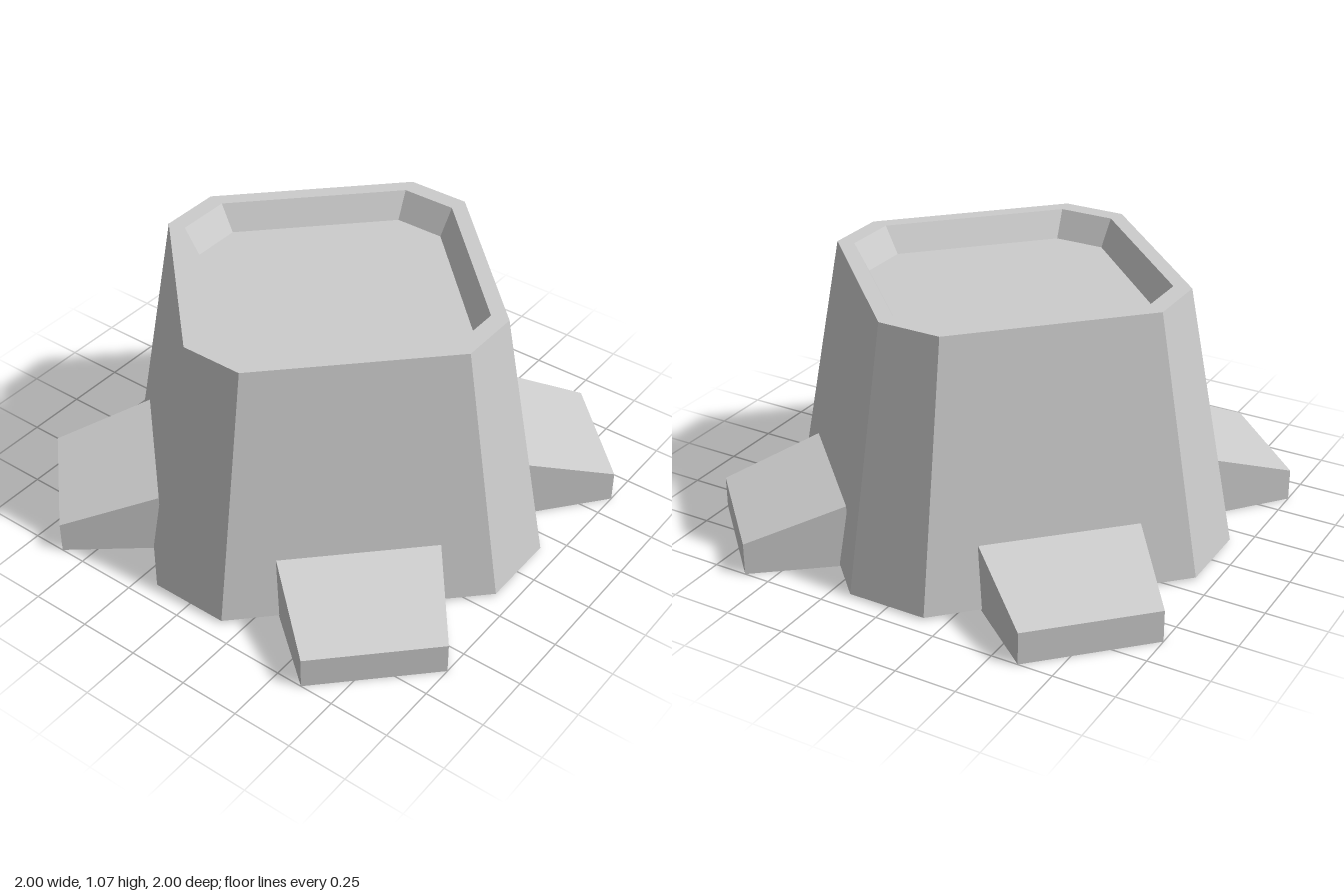
import * as THREE from 'three';

const material = new THREE.MeshStandardMaterial({
  color: 0xcccccc, flatShading: true, side: THREE.DoubleSide,
});

// Octagon with four long diagonal sides: far = reach along an axis, half = half of the short side
function octagon(far, half, y) {
  return [
    [far, half], [half, far], [-half, far], [-far, half],
    [-far, -half], [-half, -far], [half, -far], [far, -half],
  ].map(([x, z]) => new THREE.Vector3(x, y, -z));
}

// Skins a stack of rings and closes the last one
function loft(rings) {
  const points = [];
  const n = rings[0].length;
  for (let r = 0; r < rings.length - 1; r++) {
    for (let i = 0; i < n; i++) {
      const j = (i + 1) % n;
      const [a, b, c, d] = [rings[r][i], rings[r][j], rings[r + 1][j], rings[r + 1][i]];
      points.push(a, b, c, a, c, d);
    }
  }
  const last = rings[rings.length - 1];
  for (let i = 1; i < n - 1; i++) points.push(last[0], last[i], last[i + 1]);
  const geometry = new THREE.BufferGeometry().setFromPoints(points);
  geometry.computeVertexNormals();
  return geometry;
}

// Foot pointing along +x: inner end taller and wider than the outer end
function footGeometry() {
  const geometry = new THREE.BoxGeometry(1, 1, 1).toNonIndexed();
  const p = geometry.attributes.position;
  for (let i = 0; i < p.count; i++) {
    const outer = p.getX(i) > 0;
    const top = p.getY(i) > 0;
    p.setXYZ(
      i,
      outer ? 1.138 : 0.737,
      top ? (outer ? 0.133 : 0.266) : 0,
      Math.sign(p.getZ(i)) * (outer ? 0.276 : 0.318),
    );
  }
  geometry.computeVertexNormals();
  return geometry;
}

export function createModel() {
  const group = new THREE.Group();

  // Tapered hollow body, open below, with a rim and a sunken top
  const body = new THREE.Mesh(loft([
    octagon(0.927, 0.165, 0.01),
    octagon(0.725, 0.13, 1.07),
    octagon(0.653, 0.115, 1.07),
    octagon(0.592, 0.105, 0.96),
  ]), material);
  body.name = 'body';
  group.add(body);

  // Four feet on the diagonal walls
  const foot = footGeometry();
  for (let i = 0; i < 4; i++) {
    const mesh = new THREE.Mesh(foot, material);
    mesh.name = 'foot' + (i + 1);
    mesh.rotation.y = Math.PI / 4 + i * Math.PI / 2;
    group.add(mesh);
  }
  return group;
}
